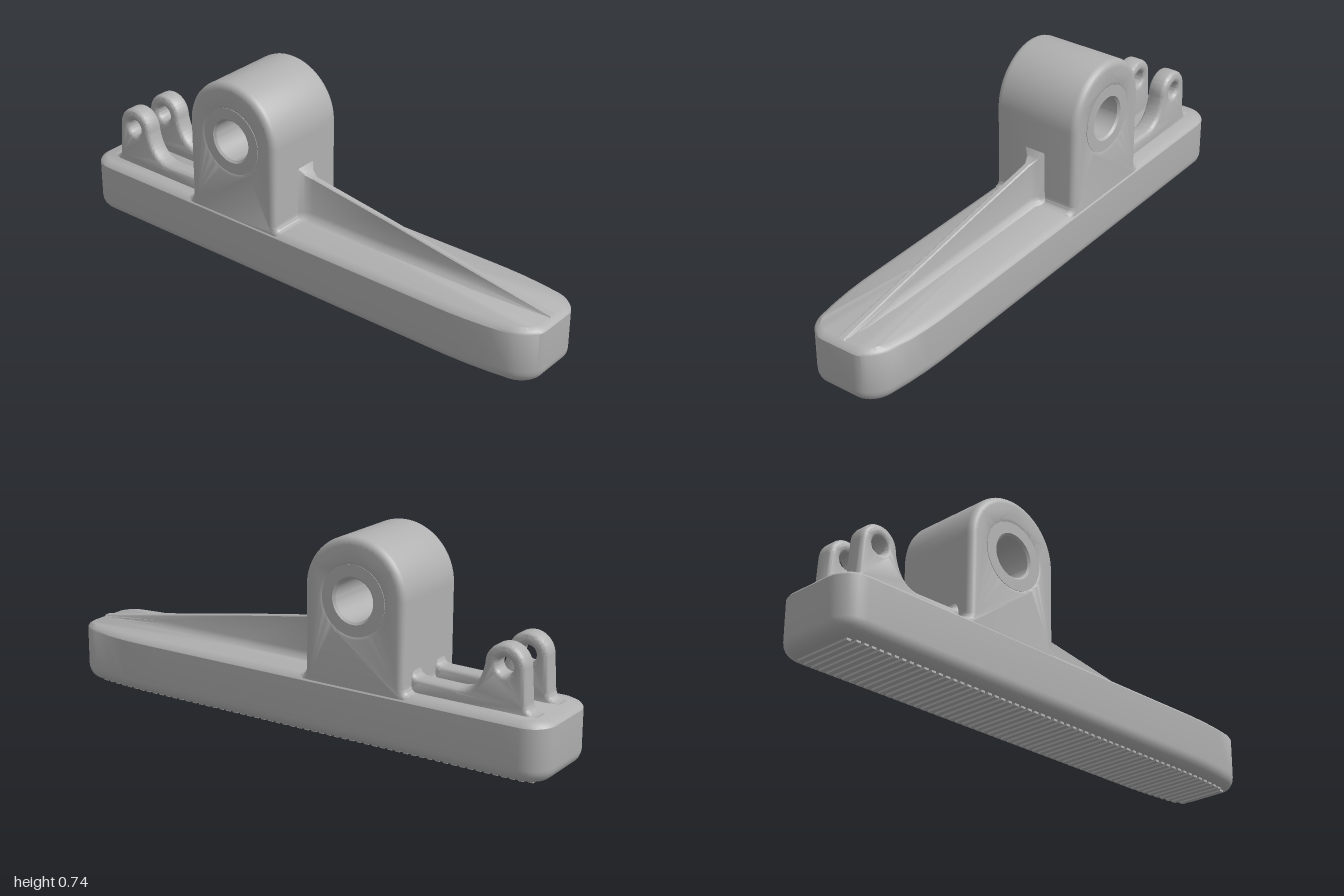
import * as THREE from 'three';
import { mergeGeometries, toCreasedNormals } from 'three/addons/utils/BufferGeometryUtils.js';

// Skin a list of equal-length rows of [x, y, z] points; row x column points outward
function loft(rows, closed) {
  const n = rows[0].length, index = [];
  for (let i = 0; i < rows.length - 1; i++) {
    for (let j = 0; j < (closed ? n : n - 1); j++) {
      const k = (j + 1) % n;
      const a = i * n + j, b = (i + 1) * n + j, c = (i + 1) * n + k, d = i * n + k;
      index.push(a, b, c, a, c, d);
    }
  }
  const geo = new THREE.BufferGeometry();
  geo.setAttribute('position', new THREE.Float32BufferAttribute(rows.flat(2), 3));
  geo.setIndex(index);
  return toCreasedNormals(geo, 0.6);
}

// Plan taper towards the +x toe
const taper = x => 1 - 0.24 * Math.pow(Math.max(0, (x - 0.65) / 0.35), 2);

// Rounded-rectangle ring of the base, inset by d at height y
function baseRing(d, y) {
  const r = 0.09, ring = [];
  const corners = [[1, 1], [-1, 1], [-1, -1], [1, -1]];
  corners.forEach(([sx, sz], q) => {
    for (let i = 0; i <= 8; i++) {
      const t = (q + i / 8) * Math.PI / 2;
      const x = sx * (1 - r) + (r - d) * Math.cos(t);
      const z = sz * (0.177 - r) + (r - d) * Math.sin(t);
      ring.push([x, y, z * taper(x)]);
    }
    // extra stations along the long sides so that the taper curves smoothly
    if (q % 2 === 0) {
      for (let i = 1; i < 24; i++) {
        const x = sx * (1 - r) * (1 - i / 12);
        ring.push([x, y, sz * (0.177 - d) * taper(x)]);
      }
    }
  });
  return ring;
}

function baseGeometry() {
  const rows = [baseRing(0.05, 0.008).map(() => [0, 0.008, 0]), baseRing(0.05, 0.008)];
  for (let i = 1; i <= 6; i++) {
    const t = i / 6 * Math.PI / 2;
    rows.push(baseRing(0.05 * (1 - Math.sin(t)), 0.008 + 0.05 * (1 - Math.cos(t))));
  }
  rows.push(baseRing(0, 0.203), baseRing(0.006, 0.211), baseRing(0.026, 0.222));
  rows.push(rows[0].map(() => [0, 0.222, 0]));
  return loft(rows, true);
}

// Fine crosswise treads under the base
function treadGeometry() {
  const boxes = [];
  for (let i = 0; i < 60; i++) {
    const x = -0.93 + i * 1.86 / 59;
    const half = 0.127 * taper(x) - Math.max(0, Math.abs(x) - 0.9) * 0.3;
    boxes.push(new THREE.BoxGeometry(0.018, 0.012, 2 * half).translate(x, 0.006, 0));
  }
  return mergeGeometries(boxes);
}

// Extrude between two z planes with rounded edges inside the outline
function roundedPlate(shape, z0, z1, bevel) {
  const geo = new THREE.ExtrudeGeometry(shape, {
    depth: z1 - z0 - 2 * bevel, bevelEnabled: true, bevelThickness: bevel,
    bevelSize: bevel, bevelOffset: -bevel, bevelSegments: 4, curveSegments: 24,
  }).translate(0, 0, z0 + bevel);
  return toCreasedNormals(geo, 0.6);
}

function circleHole(x, y, r) {
  return new THREE.Path().absarc(x, y, r, 0, Math.PI * 2, true);
}

// Arched bearing block with a small foot flare
function bearingShape() {
  const cx = -0.27, s = new THREE.Shape();
  s.moveTo(cx - 0.225, 0.19);
  s.lineTo(cx + 0.225, 0.19);
  s.lineTo(cx + 0.225, 0.222);
  s.quadraticCurveTo(cx + 0.2, 0.222, cx + 0.2, 0.25);
  s.lineTo(cx + 0.2, 0.54);
  s.absarc(cx, 0.54, 0.2, 0, Math.PI, false);
  s.lineTo(cx - 0.2, 0.25);
  s.quadraticCurveTo(cx - 0.2, 0.222, cx - 0.225, 0.222);
  s.holes.push(circleHole(cx, 0.52, 0.112));
  return s;
}

// Pivot ear running into a low wall that reaches the bearing block
function earShape() {
  const s = new THREE.Shape();
  s.moveTo(-0.94, 0.19);
  s.lineTo(-0.42, 0.19);
  s.lineTo(-0.42, 0.3);
  s.lineTo(-0.47, 0.295);
  s.quadraticCurveTo(-0.475, 0.27, -0.5, 0.27);
  s.lineTo(-0.64, 0.268);
  s.bezierCurveTo(-0.7, 0.268, -0.73, 0.31, -0.742, 0.375);
  s.absarc(-0.817, 0.375, 0.075, 0, Math.PI, false);
  s.lineTo(-0.9, 0.26);
  s.quadraticCurveTo(-0.902, 0.225, -0.94, 0.225);
  s.holes.push(circleHole(-0.817, 0.375, 0.03));
  return s;
}

// Tapering web with foot fillets, flaring where it meets the bearing block
function webGeometry() {
  const stations = [[-0.09, 0.44, 0.045], [-0.07, 0.425, 0.03], [-0.055, 0.402, 0.013],
    [-0.025, 0.388, 0], [0.3, 0.338, 0], [0.7, 0.272, 0], [0.98, 0.225, 0]];
  const rows = stations.map(([x, h, f]) => {
    const e = Math.min(0.035, (h - 0.215) * 0.6);
    const half = [[0.05, 0.215], [0.032, 0.215 + 0.25 * e], [0.02, 0.215 + 0.6 * e],
      [0.015, 0.215 + e], [0.012, h - 0.1 * e], [0.008, h]];
    const side = half.map(([z, y]) => [x, y, z + f]);
    return [...side, ...side.map(p => [p[0], p[1], -p[2]]).reverse()];
  });
  return loft(rows, false);
}

// Bushing ring seated in the block
function bushingGeometry() {
  const profile = [[0.126, -0.172], [0.126, 0.172], [0.084, 0.172], [0.076, 0.164],
    [0.076, -0.164], [0.084, -0.172], [0.126, -0.172]];
  const geo = new THREE.LatheGeometry(profile.map(p => new THREE.Vector2(...p)).reverse(), 48);
  geo.rotateX(Math.PI / 2).translate(-0.27, 0.52, 0);
  return toCreasedNormals(geo, 0.5);
}

export function createModel() {
  const model = new THREE.Group();
  model.name = 'bearingFoot';
  const grey = new THREE.MeshStandardMaterial({ color: 0xb0b0b0, side: THREE.DoubleSide });
  grey.name = 'plain grey';

  const add = (name, geometry) => {
    const mesh = new THREE.Mesh(geometry, grey);
    mesh.name = name;
    model.add(mesh);
  };

  add('base', baseGeometry());
  add('soleTreads', treadGeometry());
  add('bearingBlock', roundedPlate(bearingShape(), -0.173, 0.173, 0.025));
  add('bushing', bushingGeometry());
  add('supportWeb', webGeometry());
  add('frontPivotEar', roundedPlate(earShape(), 0.042, 0.115, 0.018));
  add('backPivotEar', roundedPlate(earShape(), -0.115, -0.042, 0.018));
  return model;
}
